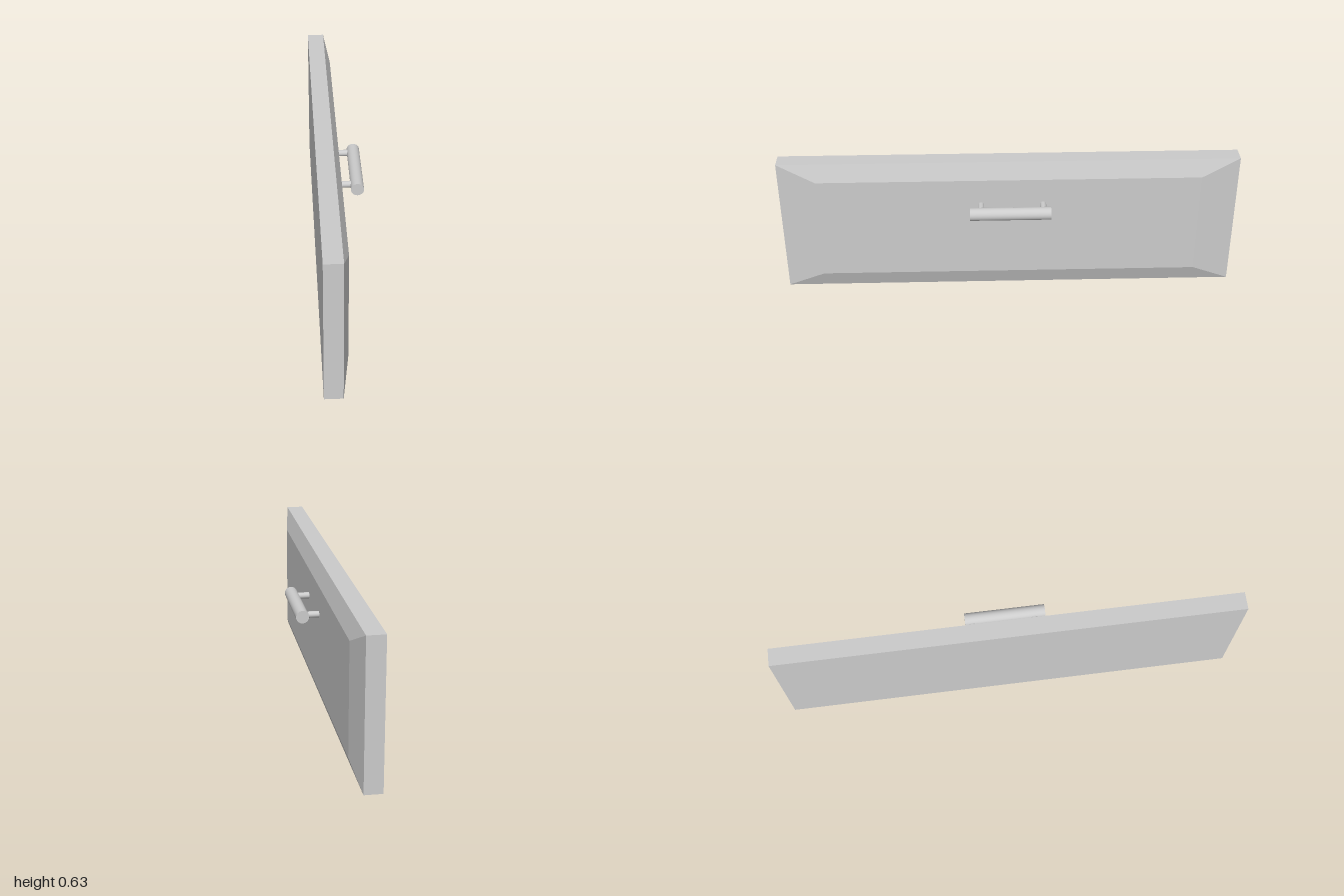
import * as THREE from 'three';

const material = new THREE.MeshStandardMaterial({ color: 0xcccccc });
const flatMaterial = new THREE.MeshStandardMaterial({ color: 0xcccccc, flatShading: true });

const HEIGHT = 0.628, LENGTH = 2;
const BACK_X = -0.103, EDGE_X = -0.027, FACE_X = 0;
const INSET_Y = 0.077, INSET_Z = 0.165;

// Slab whose +x face is drawn inwards to leave a sloped border
function panelGeometry() {
  const box = new THREE.BoxGeometry(2, HEIGHT, LENGTH, 2, 1, 1);
  const p = box.attributes.position;
  for (let i = 0; i < p.count; i++) {
    const x = p.getX(i);
    if (x > 0.5) {
      p.setY(i, p.getY(i) - Math.sign(p.getY(i)) * INSET_Y);
      p.setZ(i, p.getZ(i) - Math.sign(p.getZ(i)) * INSET_Z);
    }
    p.setX(i, x > 0.5 ? FACE_X : x < -0.5 ? BACK_X : EDGE_X);
  }
  const geometry = box.toNonIndexed();
  geometry.computeVertexNormals();
  return geometry;
}

function add(parent, name, geometry, mat, x, y, z) {
  const mesh = new THREE.Mesh(geometry, mat);
  mesh.name = name;
  mesh.position.set(x, y, z);
  parent.add(mesh);
  return mesh;
}

export function createModel() {
  const model = new THREE.Group();
  model.name = 'drawerFront';

  add(model, 'bevelledPanel', panelGeometry(), flatMaterial, 0, HEIGHT / 2, 0);

  // Bar handle carried on two round posts
  const handle = new THREE.Group();
  handle.name = 'handle';
  handle.position.y = 0.428;
  model.add(handle);

  const barX = 0.0745;
  const bar = new THREE.CylinderGeometry(0.028, 0.028, 0.35, 40).rotateX(Math.PI / 2);
  add(handle, 'handleBar', bar, material, barX, 0, -0.003);

  const post = new THREE.CylinderGeometry(0.014, 0.014, barX, 32).rotateZ(Math.PI / 2);
  for (const z of [-0.147, 0.124]) add(handle, 'handlePost', post, material, barX / 2, 0, z);

  return model;
}
